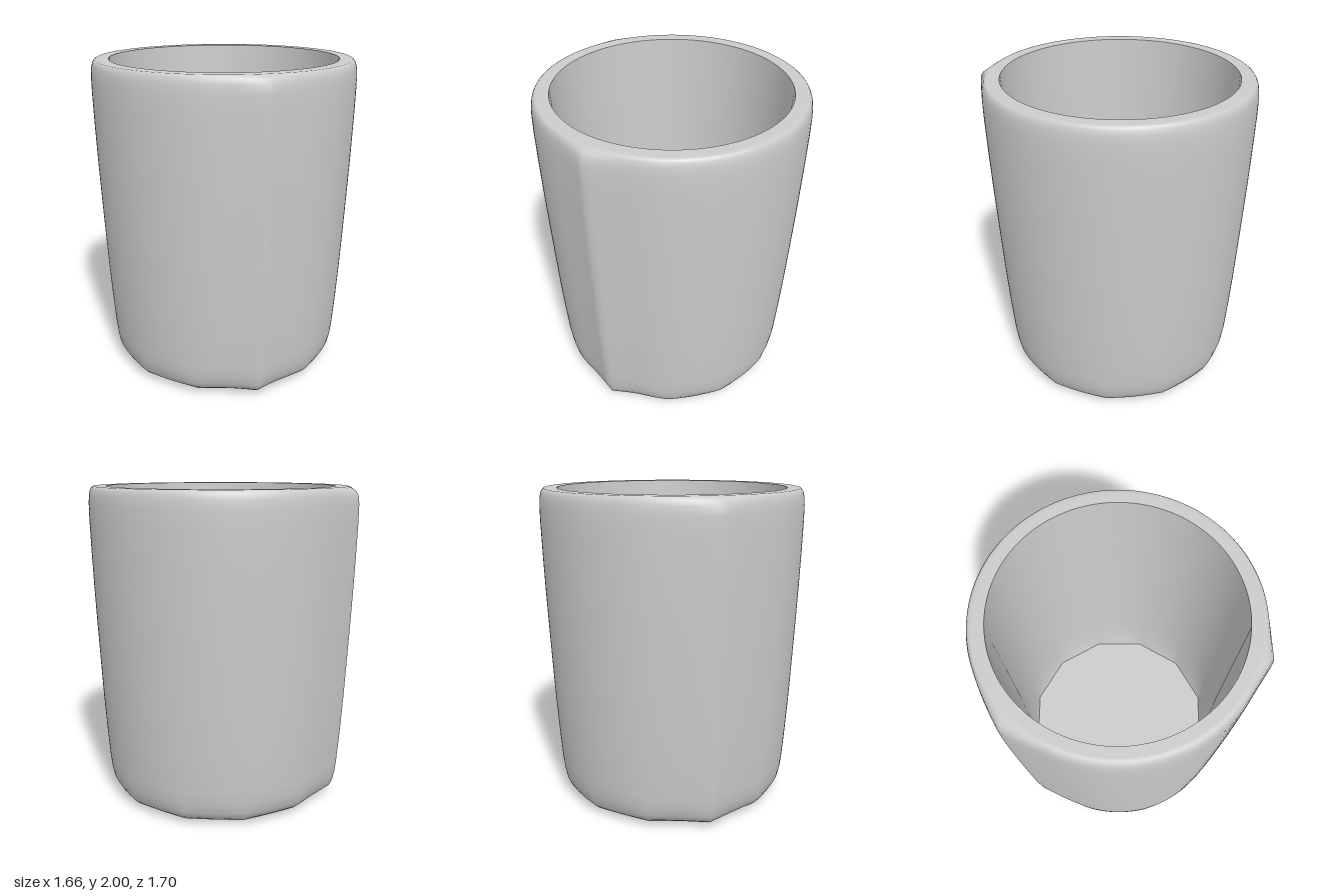
import * as THREE from 'three';
import { mergeVertices } from 'three/addons/utils/BufferGeometryUtils.js';

const SEGMENTS = 144;
const CENTRE_Z = -0.02;

// Two raised vertical ridges: [angle from the front, height, half width]
const RIDGES = [[0, 0.042, 0.3], [-Math.PI * 2 / 3, 0.047, 0.42]];

function ridgeHeight(angle) {
  let h = 0;
  for (const [at, height, width] of RIDGES) {
    const d = Math.abs(Math.atan2(Math.sin(angle - at), Math.cos(angle - at)));
    if (d < width) h += height * (1 - d / width) ** 2;
  }
  return h;
}

// Radius factor of a twelve-sided outline with a corner at the front
function twelveSided(angle) {
  const step = Math.PI / 6;
  const a = ((angle % step) + step) % step - step / 2;
  return Math.cos(step / 2) / Math.cos(a);
}

// Turns rows of [radius, y, ridge weight, twelve-sided weight] into a smooth surface
function turned(name, rows, material) {
  const lathe = new THREE.LatheGeometry(rows.map(([r, y]) => new THREE.Vector2(r, y)), SEGMENTS);
  const pos = lathe.attributes.position;
  for (let i = 0; i < pos.count; i++) {
    const [r, y, ridge = 0, sided = 0] = rows[i % rows.length];
    const angle = Math.floor(i / rows.length) / SEGMENTS * Math.PI * 2;
    const radius = r * (1 + sided * (twelveSided(angle) - 1)) + ridge * ridgeHeight(angle);
    pos.setXYZ(i, Math.sin(angle) * radius, y, Math.cos(angle) * radius + CENTRE_Z);
  }
  lathe.deleteAttribute('uv');
  lathe.deleteAttribute('normal');
  const geometry = mergeVertices(lathe, 1e-5);
  geometry.computeVertexNormals();
  const mesh = new THREE.Mesh(geometry, material);
  mesh.name = name;
  return mesh;
}

export function createModel() {
  const material = new THREE.MeshStandardMaterial({ color: 0xcccccc, side: THREE.DoubleSide });
  const cup = new THREE.Group();
  cup.name = 'cup';

  // Base, rounded foot, tapered wall and softly rounded rim
  cup.add(turned('outerShell', [
    [0, 0], [0.3, 0.004, 0, 1], [0.6, 0.012, 0, 1], [0.66, 0.016, 0.4, 1],
    [0.69, 0.026, 0.8, 0.8], [0.717, 0.05, 1, 0.5], [0.735, 0.09, 1, 0.25],
    [0.748, 0.15, 1, 0.1], [0.757, 0.23, 1], [0.771, 0.42, 1], [0.785, 0.65, 1],
    [0.796, 0.88, 1], [0.807, 1.12, 1], [0.817, 1.36, 1], [0.825, 1.6, 1],
    [0.83, 1.8, 1], [0.83, 1.9, 1], [0.826, 1.95, 0.95], [0.819, 1.978, 0.7],
    [0.81, 1.993, 0.3], [0.8, 2], [0.78, 2], [0.72, 2],
  ], material));

  // Inside wall, round at the mouth and twelve-sided at the floor
  cup.add(turned('innerWall', [
    [0.72, 2], [0.708, 1.65], [0.695, 1.25], [0.682, 0.85], [0.669, 0.45],
    [0.661, 0.25, 0, 0.3], [0.65, 0.14, 0, 1],
  ], material));

  // Inside floor
  cup.add(turned('innerFloor', [[0.65, 0.14, 0, 1], [0.3, 0.135, 0, 1], [0, 0.135]], material));
  return cup;
}
